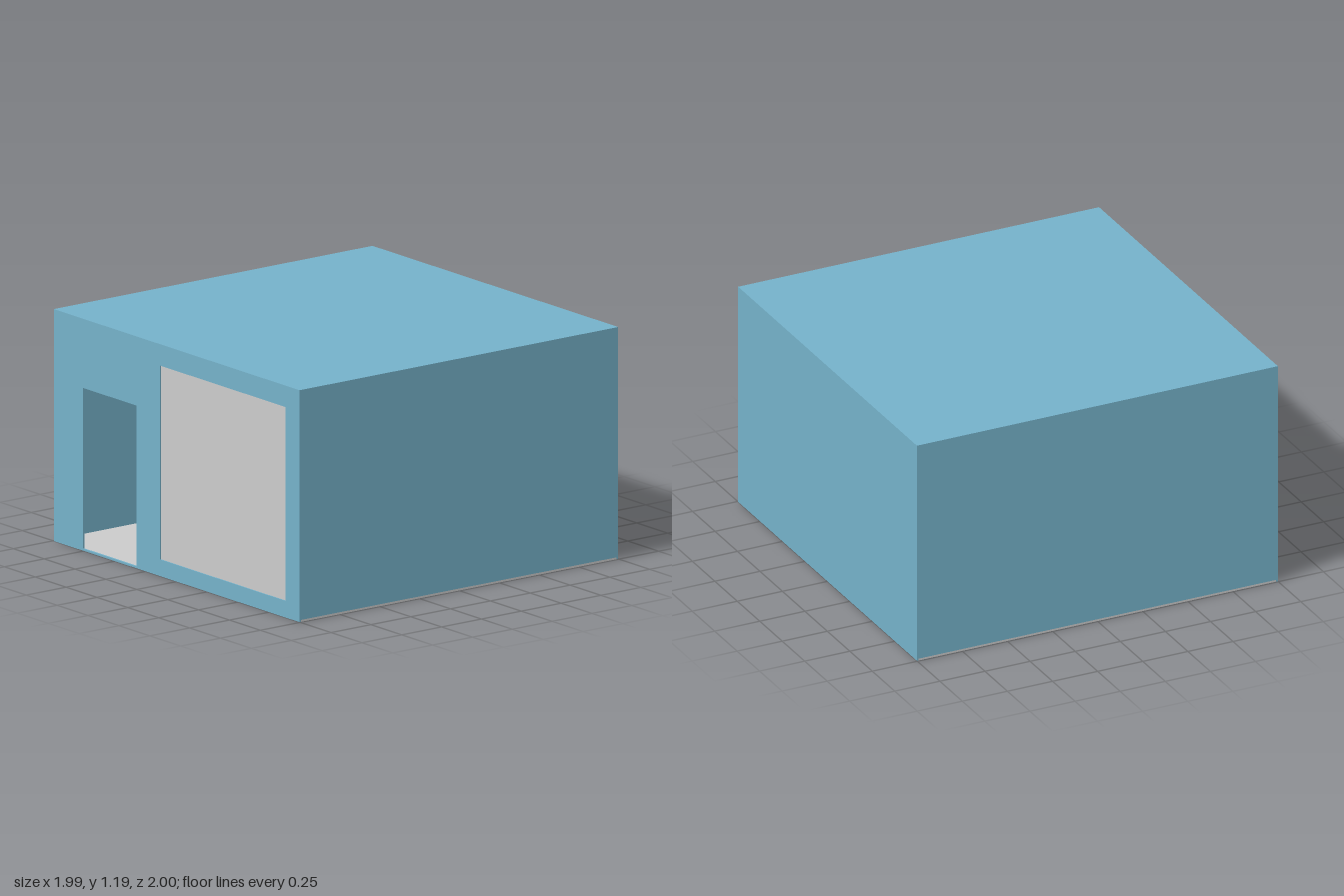
import * as THREE from 'three';

const W = 1.99, H = 1.19, D = 2, T = 0.01; // outer size and wall thickness

export function createModel() {
  const room = new THREE.Group();
  room.name = 'room';
  const blue = new THREE.MeshStandardMaterial({ color: 0x75b2ca });
  const grey = new THREE.MeshStandardMaterial({ color: 0xcccccc });

  const add = (name, geometry, material, x, y, z) => {
    const mesh = new THREE.Mesh(geometry, material);
    mesh.name = name;
    mesh.position.set(x, y, z);
    room.add(mesh);
  };
  const box = (name, w, h, d, material, x, y, z) =>
    add(name, new THREE.BoxGeometry(w, h, d), material, x, y, z);
  const rect = (path, x0, y0, x1, y1) =>
    path.moveTo(x0, y0).lineTo(x1, y0).lineTo(x1, y1).lineTo(x0, y1).closePath();

  // Floor and roof slabs
  box('floor', W, T, D - 2 * T, grey, 0, T / 2, 0);
  box('roof', W, T, D, blue, 0, H - T / 2, 0);

  // Side and back walls
  const wallH = H - 2 * T;
  for (const [name, s] of [['leftWall', 1], ['rightWall', -1]])
    box(name, T, wallH, D - 2 * T, blue, s * (W - T) / 2, T + wallH / 2, 0);
  box('backWall', W, H - T, T, blue, 0, (H - T) / 2, -(D - T) / 2);

  // Front wall with doorway and window opening
  const front = new THREE.Shape();
  rect(front, -W / 2, 0, W / 2, H - T);
  const door = new THREE.Path(), opening = new THREE.Path();
  rect(door, -0.76, T, -0.325, 0.835);
  rect(opening, -0.135, 0.085, 0.88, 1.08);
  front.holes.push(door, opening);
  add('frontWall', new THREE.ExtrudeGeometry(front, { depth: T, bevelEnabled: false }),
    blue, 0, 0, D / 2 - T);

  // Window pane set at the back of its opening
  box('windowPane', 1.015, 0.995, 0.004, grey, 0.3725, 0.5825, D / 2 - T + 0.002);

  return room;
}
